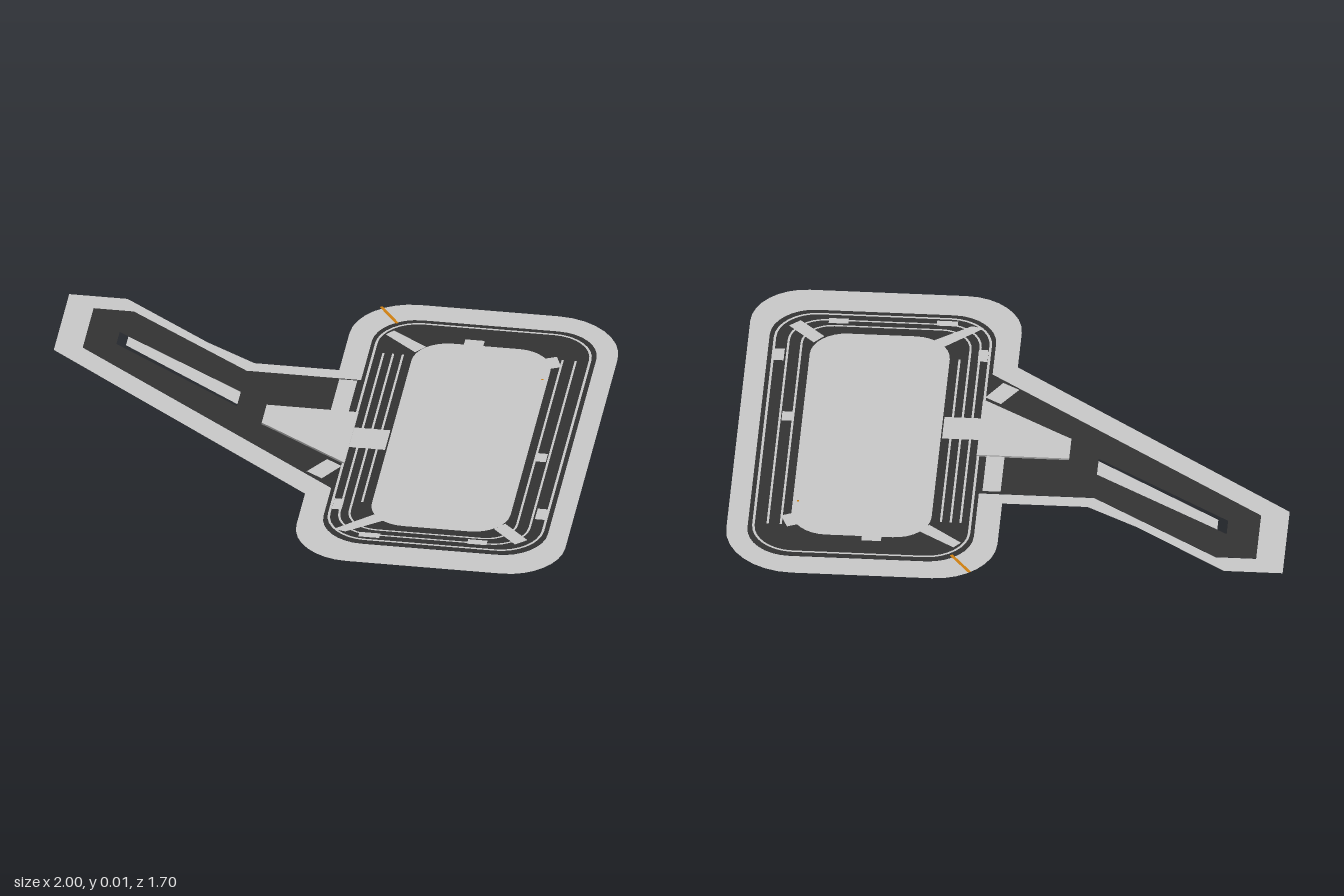
import * as THREE from 'three';

const ground = new THREE.MeshStandardMaterial({ color: 0xcacaca, side: THREE.DoubleSide });
ground.name = 'light grey';
const asphalt = new THREE.MeshStandardMaterial({ color: 0x333333, side: THREE.DoubleSide });
asphalt.name = 'dark grey';
const orange = new THREE.MeshStandardMaterial({ color: 0xd08010, side: THREE.DoubleSide });
orange.name = 'orange';

// Turns [x, z, cut] corners into shape points (y = -z), rounding corners that have a cut
function outline(corners, closed = true) {
  const pts = [], n = corners.length;
  corners.forEach(([x, z, cut], i) => {
    const p = new THREE.Vector2(x, -z);
    if (!cut || (!closed && (i === 0 || i === n - 1))) return pts.push(p);
    const toward = ([qx, qz], d) => p.clone().add(new THREE.Vector2(qx, -qz).sub(p).setLength(d));
    const prev = corners[(i + n - 1) % n], next = corners[(i + 1) % n];
    const k = cut * 0.45;
    pts.push(...new THREE.CubicBezierCurve(
      toward(prev, cut), toward(prev, k), toward(next, k), toward(next, cut)).getPoints(8));
  });
  return pts;
}
const rect = (x0, z0, x1, z1, r = 0) => [[x0, z0, r], [x1, z0, r], [x1, z1, r], [x0, z1, r]];

export function createModel() {
  const group = new THREE.Group();

  function addMesh(name, geometry, material, y) {
    geometry.rotateX(-Math.PI / 2);
    const mesh = new THREE.Mesh(geometry, material);
    mesh.name = name;
    mesh.position.y = y;
    group.add(mesh);
  }
  function sheet(name, corners, material, y, holes = []) {
    const shape = new THREE.Shape(outline(corners));
    shape.holes = holes.map((h) => new THREE.Path(outline(h)));
    addMesh(name, new THREE.ShapeGeometry(shape), material, y);
  }
  // Flat painted ribbon that follows a path
  function ribbon(name, corners, width, y, closed = false) {
    const pts = outline(corners, closed), n = pts.length;
    const pos = [], index = [];
    pts.forEach((p, i) => {
      const a = pts[closed ? (i + n - 1) % n : Math.max(i - 1, 0)];
      const b = pts[closed ? (i + 1) % n : Math.min(i + 1, n - 1)];
      const d = b.clone().sub(a).setLength(width / 2);
      pos.push(p.x - d.y, p.y + d.x, 0, p.x + d.y, p.y - d.x, 0);
      if (i < n - 1 || closed) {
        const s = i * 2, t = ((i + 1) % n) * 2;
        index.push(s, s + 1, t, t, s + 1, t + 1);
      }
    });
    const g = new THREE.BufferGeometry();
    g.setAttribute('position', new THREE.Float32BufferAttribute(pos, 3));
    g.setIndex(index);
    g.computeVertexNormals();
    addMesh(name, g, ground, y);
  }

  const groundEdge = [
    [-1, -0.74], [-0.79, -0.74], [-0.465, -0.5], [-0.28, -0.39], [0.025, -0.39],
    [0.025, -0.855, 0.22], [0.995, -0.855, 0.25], [0.995, 0.845, 0.2], [0.025, 0.845, 0.21],
    [0.025, 0.43], [-1, -0.37],
  ];
  const roadEdge = [
    [-0.9, -0.66], [-0.755, -0.66], [-0.3, -0.335], [0.112, -0.335],
    [0.112, -0.755, 0.16], [0.92, -0.755, 0.16], [0.92, 0.725, 0.16], [0.112, 0.725, 0.16],
    [0.112, 0.38], [-0.9, -0.4],
  ];
  const infield = rect(0.27, -0.62, 0.77, 0.59, 0.13);
  const island = [[-0.195, -0.115], [0.135, -0.115], [0.135, 0.22], [-0.17, 0.02], [-0.195, 0.005]];
  const slot = [[-0.785, -0.52], [-0.3, -0.195], [-0.3, -0.1], [-0.785, -0.44]];
  const slotFill = [[-0.75, -0.495], [-0.3, -0.195], [-0.3, -0.113], [-0.75, -0.437]];

  // Ground and road surfaces
  sheet('groundBorder', groundEdge, ground, 0, [roadEdge]);
  sheet('road', roadEdge, asphalt, 0.001, [infield, island, slot]);
  sheet('infield', infield, ground, 0.001);
  sheet('slotIsland', slotFill, ground, 0.001);

  // Raised triangular island
  addMesh('triangleIsland', new THREE.ExtrudeGeometry(new THREE.Shape(outline(island)),
    { depth: 0.007, bevelEnabled: false }), ground, 0.001);

  // Lane lines around the loop
  const paint = 0.003;
  ribbon('outerLaneLine', rect(0.13, -0.73, 0.9, 0.7, 0.15), 0.009, paint, true);
  [[0.165, 0.85, 0.665, 0.13], [0.2, 0.803, 0.632, 0.11]].forEach(([x0, x1, z, r]) =>
    ribbon('laneLine', [[x0, -0.52], [x0, z, r], [x1, z, r], [x1, -0.57]], 0.008, paint));
  ribbon('laneLine', [[0.235, -0.52], [0.235, 0.46]], 0.008, paint);

  // Pale patches across the road
  const patches = [
    rect(0.135, -0.02, 0.265, 0.11),
    rect(0.035, -0.325, 0.1, -0.115),
    [[0.07, 0.2], [0.128, 0.237], [0.07, 0.328], [0.01, 0.29]],
    [[0.18, -0.67], [0.31, -0.58], [0.275, -0.54], [0.155, -0.64]],
    rect(0.44, -0.65, 0.51, -0.61),
    [[0.735, -0.565], [0.78, -0.585], [0.805, -0.52], [0.76, -0.5]],
    rect(0.805, 0.05, 0.843, 0.105),
    rect(0.86, 0.41, 0.897, 0.48),
    rect(0.135, 0.45, 0.17, 0.52),
    [[0.3, 0.525], [0.335, 0.565], [0.205, 0.66], [0.16, 0.65]],
    rect(0.255, 0.655, 0.33, 0.685),
    rect(0.645, 0.645, 0.715, 0.675),
    [[0.725, 0.565], [0.76, 0.525], [0.855, 0.62], [0.815, 0.655]],
  ];
  patches.forEach((p) => sheet('roadPatch', p, ground, 0.004));

  // Orange marks
  sheet('orangeMarker', [[0.107, -0.813], [0.117, -0.819], [0.19, -0.72], [0.18, -0.713]], orange, 0.005);
  sheet('orangeDot', rect(0.747, -0.433, 0.755, -0.425), orange, 0.005);

  return group;
}
